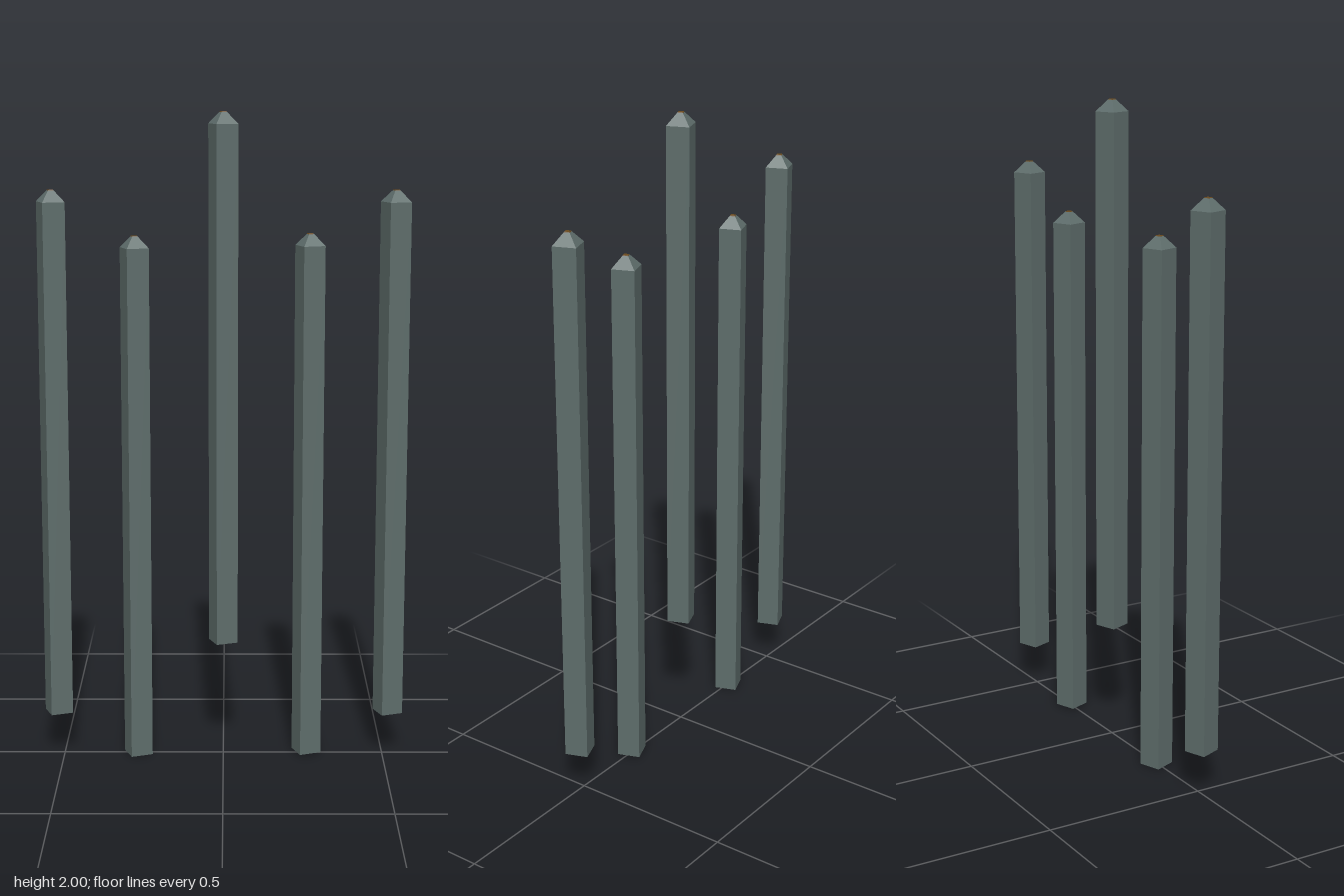
import * as THREE from 'three';

const steel = new THREE.MeshStandardMaterial({ color: 0x5f6e6c });
steel.name = 'grey green steel';
const rust = new THREE.MeshStandardMaterial({ color: 0x6b4a1e });
rust.name = 'brown tip';

const RADIUS = 0.049, TIP = 0.012, SHOULDER = 0.036, LENGTH = 1.63;

// Square prism or frustum standing on y = 0, with flat sides
function square(name, top, bottom, height, material, open = false) {
  const geometry = new THREE.CylinderGeometry(top, bottom, height, 4, 1, open).toNonIndexed();
  geometry.translate(0, height / 2, 0);
  geometry.computeVertexNormals();
  const mesh = new THREE.Mesh(geometry, material);
  mesh.name = name;
  return mesh;
}

// One bar: square shaft, sloped shoulder and a small blunt tip
function createBar(x, y) {
  const bar = new THREE.Group();
  bar.name = 'bar';
  const shaftHeight = LENGTH - SHOULDER;
  const shaft = square('shaft', RADIUS, RADIUS, shaftHeight, steel);
  const shoulder = square('shoulder', TIP, RADIUS, SHOULDER - 0.002, steel, true);
  shoulder.position.y = shaftHeight;
  const tip = square('tip', TIP * 0.9, TIP, 0.002, rust);
  tip.position.y = LENGTH - 0.002;
  bar.add(shaft, shoulder, tip);
  bar.position.set(x, y, 0);
  bar.rotation.y = -0.42; // one corner leans toward the front left
  return bar;
}

export function createModel() {
  const model = new THREE.Group();
  model.name = 'spikeBars';
  // x position and foot height of each bar
  const bars = [[-0.516, 0.14], [-0.267, 0.003], [0, 0.37], [0.261, 0.01], [0.516, 0.14]];
  for (const [x, y] of bars) model.add(createBar(x, y));
  return model;
}
